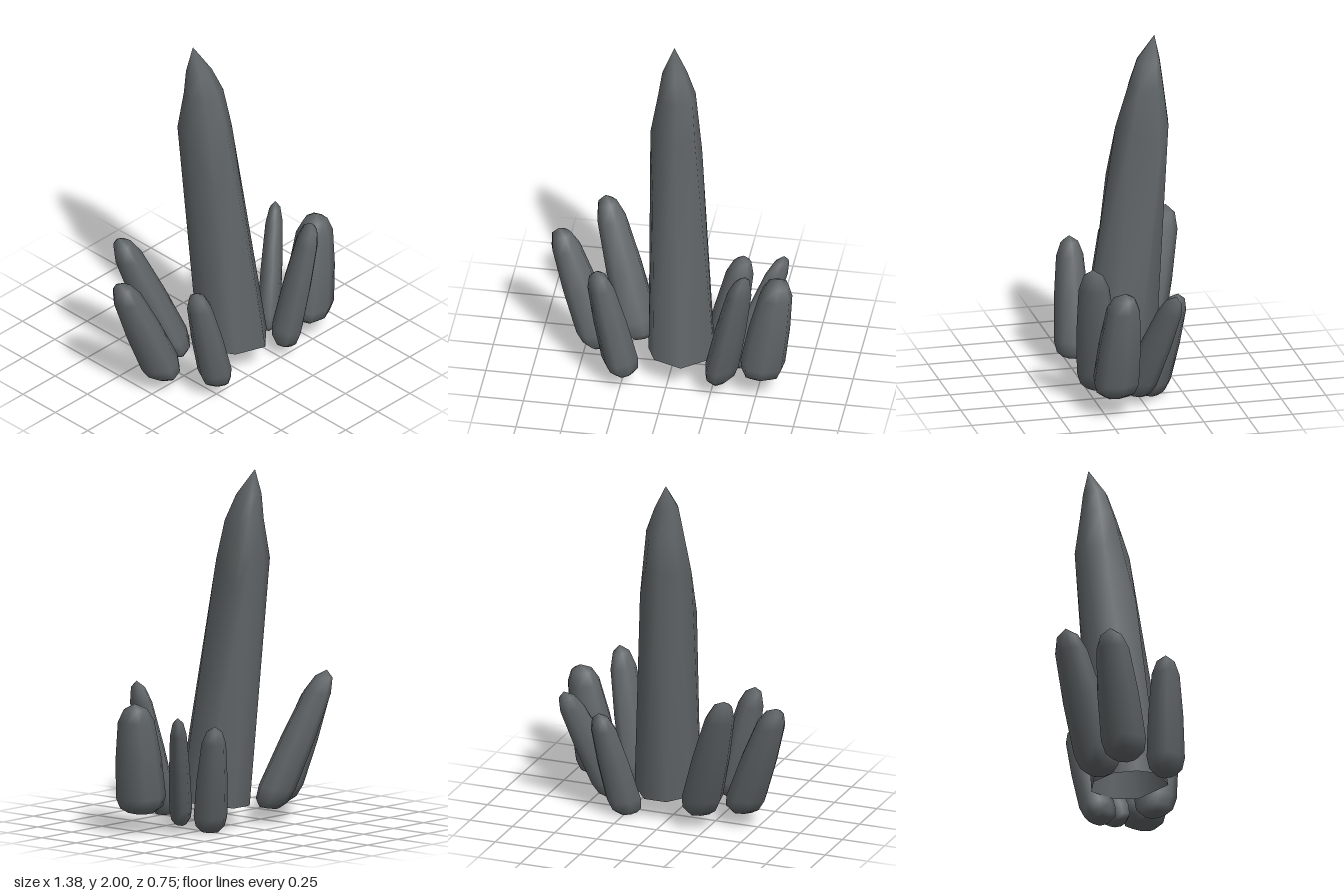
import * as THREE from 'three';

// Smooth skin over rings of [x, y, z] points, with a pole at the top and, if given, at the bottom
function loft(rings, top, bottom) {
  const n = rings[0].length, last = (rings.length - 1) * n;
  const points = [...rings.flat(), top];
  const highPole = points.length - 1, lowPole = points.length;
  if (bottom) points.push(bottom);
  const index = [];
  for (let i = 0; i < n; i++) {
    const j = (i + 1) % n;
    for (let r = 0; r < last; r += n) {
      index.push(r + i, r + j, r + n + j, r + i, r + n + j, r + n + i);
    }
    index.push(last + i, last + j, highPole);
    if (bottom) index.push(lowPole, j, i);
  }
  const geometry = new THREE.BufferGeometry();
  geometry.setAttribute('position', new THREE.Float32BufferAttribute(points.flat(), 3));
  geometry.setIndex(index);
  geometry.computeVertexNormals();
  return geometry;
}

// Tall spire: irregular hollow octagon, cut square to its leaning axis at the open foot
function spireGeometry() {
  const foot = [[0.09, 0.29], [0.25, 0.14], [0.23, 0], [0.12, -0.13],
    [-0.01, -0.13], [-0.11, -0.03], [-0.12, 0.1], [-0.07, 0.22]];
  // The shoulder breaks at a different height on each side
  const shoulder = [[0.02, 1.5, 0.07], [0.12, 1.5, 0], [0.135, 1.34, -0.155], [0.08, 1.5, -0.215],
    [-0.01, 1.5, -0.235], [-0.11, 1.5, -0.19], [-0.14, 1.48, -0.08], [-0.1, 1.18, 0.095]];
  const neck = [[0.02, 0.002], [0.1, -0.045], [0.1, -0.15], [0.065, -0.19],
    [0, -0.205], [-0.075, -0.175], [-0.1, -0.1], [-0.06, -0.025]];
  const rings = [
    foot.map(([x, z]) => [x, 0.14 + 0.11 * z, z]),
    shoulder,
    neck.map(([x, z]) => [x, 1.72, z]),
    neck.map(([x, z]) => [x * 0.65 - 0.015, 1.86, z * 0.66 - 0.054]),
  ];
  return loft(rings, [-0.02, 2, -0.16]);
}

// Small shard: height fraction and width of each ring
const PROFILE = [[0.01, 0.56], [0.055, 0.86], [0.15, 1], [0.5, 0.92], [0.84, 0.73], [0.95, 0.47]];
const FACETS = [1, 0.94, 1.06, 0.93, 1.03, 0.98, 1.05, 0.92];

function shardGeometry(low, high, along, across, turn) {
  const dx = high[0] - low[0], dy = high[1] - low[1], dz = high[2] - low[2];
  const lean = Math.hypot(dx, dz), ux = dx / lean, uz = dz / lean;
  const rings = PROFILE.map(([t, width]) => FACETS.map((f, i) => {
    const a = (i / FACETS.length) * Math.PI * 2 + turn;
    const u = Math.cos(a) * along * width * f, v = Math.sin(a) * across * width * f;
    return [
      low[0] + dx * t + u * ux + v * uz,
      low[1] + dy * t - (u * lean / dy) * 0.25,
      low[2] + dz * t + u * uz - v * ux,
    ];
  }));
  return loft(rings, high, low);
}

export function createModel() {
  const group = new THREE.Group();
  const stone = new THREE.MeshStandardMaterial({ color: 0x5f6466, side: THREE.DoubleSide });
  stone.name = 'darkStone';
  const add = (name, geometry) => {
    const mesh = new THREE.Mesh(geometry, stone);
    mesh.name = name;
    group.add(mesh);
  };

  add('mainSpire', spireGeometry());

  // Surrounding shards: foot, tip, half width along the lean, half width across, facet turn
  const shards = [
    ['outerRightShard', [-0.4, 0.085, 0.01], [-0.65, 0.76, -0.1], 0.115, 0.118, 0.2],
    ['backRightShard', [-0.195, 0.085, -0.105], [-0.43, 0.85, -0.325], 0.11, 0.12, 0.5],
    ['frontRightShard', [-0.235, 0.075, 0.245], [-0.39, 0.73, 0.23], 0.1, 0.1, 0.1],
    ['backLeftShard', [0.245, 0.005, -0.065], [0.36, 0.62, -0.2], 0.1, 0.096, 0.7],
    ['innerLeftShard', [0.36, 0.05, 0.045], [0.595, 0.69, -0.135], 0.1, 0.06, 0.3],
    ['frontLeftShard', [0.29, 0.075, 0.23], [0.44, 0.83, 0.3], 0.085, 0.115, 0.4],
    ['outerLeftShard', [0.515, 0.115, 0.195], [0.615, 0.74, 0.16], 0.133, 0.133, 0.6],
  ];
  for (const [name, ...shape] of shards) add(name, shardGeometry(...shape));
  return group;
}
